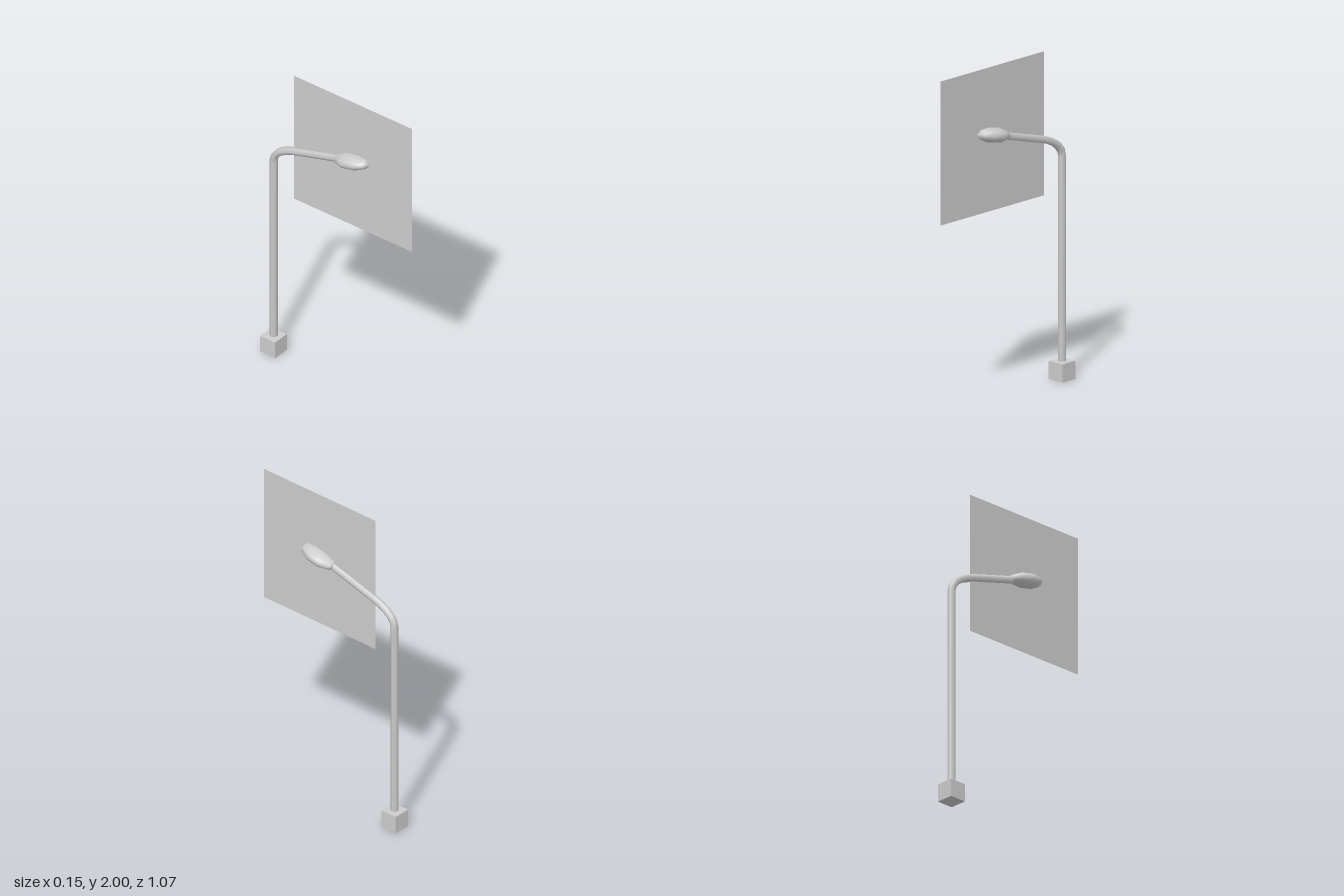
import * as THREE from 'three';

export function createModel() {
  const group = new THREE.Group();
  const grey = new THREE.MeshStandardMaterial({ color: 0xcccccc });
  grey.name = 'light grey';
  grey.side = THREE.DoubleSide;

  const add = (name, geometry, x = 0, y = 0, z = 0) => {
    const mesh = new THREE.Mesh(geometry, grey);
    mesh.name = name;
    mesh.position.set(x, y, z);
    group.add(mesh);
  };

  // Cubic foot
  add('base', new THREE.BoxGeometry(0.11, 0.11, 0.11), 0, 0.055, -0.48);

  // Six-sided post bending into the arm; drawn in the xy plane, then turned so x becomes z
  const v = (z, y) => new THREE.Vector3(z, y, 0);
  const path = new THREE.CurvePath();
  path.add(new THREE.LineCurve3(v(-0.479, 0.1), v(-0.479, 1.34)));
  path.add(new THREE.QuadraticBezierCurve3(v(-0.479, 1.34), v(-0.479, 1.43), v(-0.29, 1.482)));
  path.add(new THREE.LineCurve3(v(-0.29, 1.482), v(0.01, 1.566)));
  const pole = new THREE.TubeGeometry(path, 48, 0.024, 6);
  pole.rotateY(-Math.PI / 2);
  add('poleAndArm', pole);

  // Flattened, tilted lamp head with its poles along the arm
  const head = new THREE.SphereGeometry(1, 12, 5);
  head.scale(0.077, 0.13, 0.046);
  head.rotateX(Math.PI / 2 - 0.21);
  add('lampHead', head, 0, 1.589, 0.101);

  // Upright square sheet through the lamp head
  const sheet = new THREE.PlaneGeometry(0.865, 0.865);
  sheet.rotateY(Math.PI / 2);
  add('glowSheet', sheet, 0, 1.5675, 0.1025);

  return group;
}
